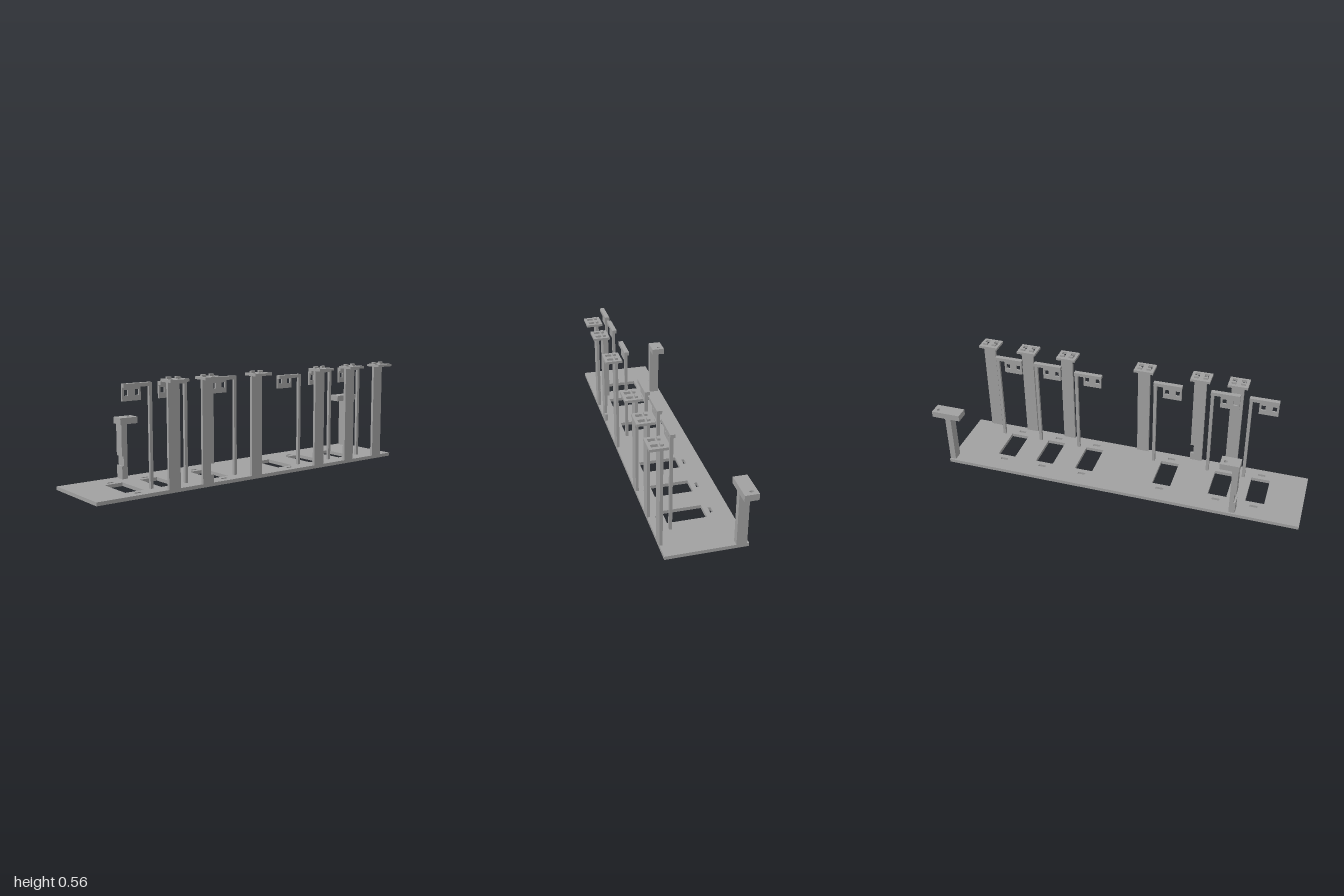
import * as THREE from 'three';

export function createModel() {
  const model = new THREE.Group();
  const grey = new THREE.MeshStandardMaterial({ color: 0xa0a0a0 });
  grey.name = 'plain grey';

  const add = (name, geometry, parent = model) => {
    const mesh = new THREE.Mesh(geometry, grey);
    mesh.name = name;
    parent.add(mesh);
    return mesh;
  };
  // Box given by its limits on each axis
  const box = (x0, x1, y0, y1, z0, z1) =>
    new THREE.BoxGeometry(x1 - x0, y1 - y0, z1 - z0)
      .translate((x0 + x1) / 2, (y0 + y1) / 2, (z0 + z1) / 2);
  const rect = (a0, a1, b0, b1, Type = THREE.Path) => {
    const p = new Type();
    p.moveTo(a0, b0).lineTo(a1, b0).lineTo(a1, b1).lineTo(a0, b1).closePath();
    return p;
  };
  const polygon = (pts) => new THREE.Shape(pts.map(([x, y]) => new THREE.Vector2(x, y)));
  const oval = (x, y, rx, ry) => new THREE.Path().absellipse(x, y, rx, ry, 0, Math.PI * 2);
  const extrude = (shape, depth) =>
    new THREE.ExtrudeGeometry(shape, { depth, bevelEnabled: false, curveSegments: 8 });
  // Upright sheet between z0 and z1, shape drawn in x and y
  const upright = (shape, z0, z1) => extrude(shape, z1 - z0).translate(0, 0, z0);
  // Flat sheet between y0 and y1, shape drawn in x and -z
  const flat = (shape, y0, y1) => extrude(shape, y1 - y0).rotateX(-Math.PI / 2).translate(0, y0, 0);

  const base = 0.018;
  const windows = [-0.755, -0.555, -0.25, 0.19, 0.42, 0.645];

  // Base plate with a window and two slots per station
  const plate = rect(-1, 0.935, -0.18, 0.225, THREE.Shape);
  for (const x of windows) {
    plate.holes.push(
      rect(x - 0.05, x + 0.05, -0.1, 0.1),
      rect(x - 0.02, x + 0.02, 0.126, 0.141),
      rect(x - 0.02, x + 0.02, -0.141, -0.126));
  }
  add('basePlate', flat(plate, 0, base));

  // Hanging arms: thin post, top bar and a tab with two square holes
  windows.forEach((x, i) => {
    const arm = new THREE.Group();
    arm.name = 'hangingArm' + (i + 1);
    const top = i === 3 ? 0.516 : 0.533;
    const left = x - 0.05, right = x + 0.103;
    add('armPost', box(right - 0.016, right, base, top - 0.018, 0.09, 0.105), arm);
    add('armBar', box(left, right, top - 0.018, top, 0.08, 0.105), arm);
    const low = i === 3 ? 0.445 : 0.45;
    const tab = rect(left, x + 0.05, low, top - 0.018, THREE.Shape);
    for (const s of [-1, 1]) {
      const c = x + s * 0.029;
      tab.holes.push(rect(c - 0.011, c + 0.011, low + 0.025, low + 0.053));
    }
    add('armTab', upright(tab, 0.08, 0.09), arm);
    model.add(arm);
  });

  // Front columns, each with a holed cap and two pegs through it
  [-0.578, -0.38, -0.073, 0.365, 0.595, 0.82].forEach((x, i) => {
    const column = new THREE.Group();
    column.name = 'frontColumn' + (i + 1);
    const l = x - 0.033, r = x + 0.033;
    const outline = [[l, base], [r, base]];
    if (i === 1) outline.push([r, 0.06], [r - 0.018, 0.06], [r - 0.018, 0.115], [r, 0.115]);
    outline.push([r, 0.537], [l, 0.537]);
    add('columnPost', upright(polygon(outline), 0.165, 0.18), column);
    const cap = rect(x - 0.053, x + 0.053, -0.234, -0.146, THREE.Shape);
    for (const s of [-1, 1]) {
      const c = x + s * 0.025;
      cap.holes.push(rect(c - 0.012, c + 0.012, -0.22, -0.187));
      add('capPeg', box(c - 0.012, c + 0.012, 0.549, 0.56, 0.165, 0.18), column);
    }
    add('columnCap', flat(cap, 0.537, 0.55), column);
    model.add(column);
  });

  // Rear supports: short post with an overhanging drilled block
  const rearSupport = (name, outline, x0, x1, hole) => {
    const support = new THREE.Group();
    support.name = name;
    add('supportPost', upright(polygon(outline), -0.215, -0.163), support);
    const block = rect(x0, x1, 0.163, 0.233, THREE.Shape);
    block.holes.push(hole);
    add('supportBlock', flat(block, 0.297, 0.33), support);
    model.add(support);
  };
  rearSupport('rearRightSupport',
    [[-0.67, base], [-0.638, base], [-0.638, 0.297], [-0.67, 0.297],
      [-0.67, 0.135], [-0.66, 0.135], [-0.66, 0.085], [-0.67, 0.085]],
    -0.675, -0.575, oval(-0.6, 0.205, 0.01, 0.01));
  rearSupport('rearLeftSupport',
    [[0.903, base], [0.935, base], [0.935, 0.297], [0.903, 0.297]],
    0.84, 0.998, oval(0.972, 0.205, 0.007, 0.011));

  return model;
}
